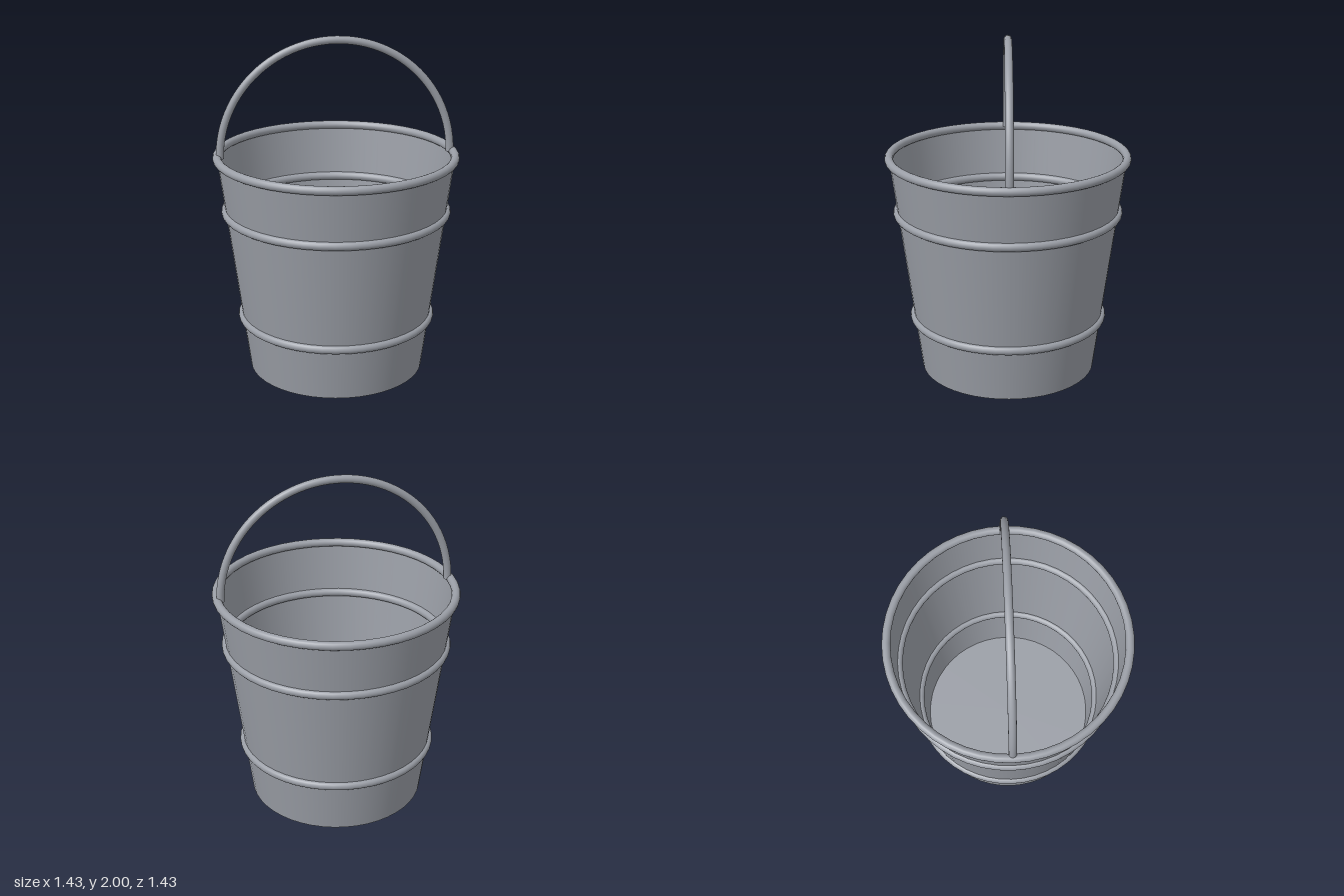
import * as THREE from 'three';

const HEIGHT = 1.305, BOTTOM_R = 0.52, TOP_R = 0.69;
const SEGMENTS = 48;

export function createModel() {
  const bucket = new THREE.Group();
  bucket.name = 'bucket';
  const metal = new THREE.MeshStandardMaterial({ color: 0x9a9ea6 });
  metal.name = 'galvanised grey';
  metal.side = THREE.DoubleSide; // thin sheet metal

  const add = (name, geometry, y) => {
    const mesh = new THREE.Mesh(geometry, metal);
    mesh.name = name;
    mesh.position.y = y;
    bucket.add(mesh);
    return mesh;
  };

  // Tapered thin wall and flat floor
  add('wall', new THREE.CylinderGeometry(TOP_R, BOTTOM_R, HEIGHT, SEGMENTS, 1, true), HEIGHT / 2);
  add('floor', new THREE.CircleGeometry(BOTTOM_R, SEGMENTS).rotateX(-Math.PI / 2), 0);

  // Round rings centred on the wall: two hoops and the rim
  const rings = [['lowerHoop', 0.25], ['upperHoop', 0.75], ['rim', 1]];
  for (const [name, t] of rings) {
    const radius = THREE.MathUtils.lerp(BOTTOM_R, TOP_R, t);
    add(name, new THREE.TorusGeometry(radius, 0.025, 16, SEGMENTS).rotateX(Math.PI / 2), HEIGHT * t);
  }

  // Half-circle carrying handle with closed ends
  const handleR = 0.672, rodR = 0.023;
  add('handle', new THREE.TorusGeometry(handleR, rodR, 16, SEGMENTS, Math.PI), HEIGHT);
  for (const side of [-1, 1]) {
    const end = add(side > 0 ? 'leftHandleEnd' : 'rightHandleEnd',
      new THREE.CircleGeometry(rodR, 16).rotateX(Math.PI / 2), HEIGHT);
    end.position.x = side * handleR;
  }

  return bucket;
}
